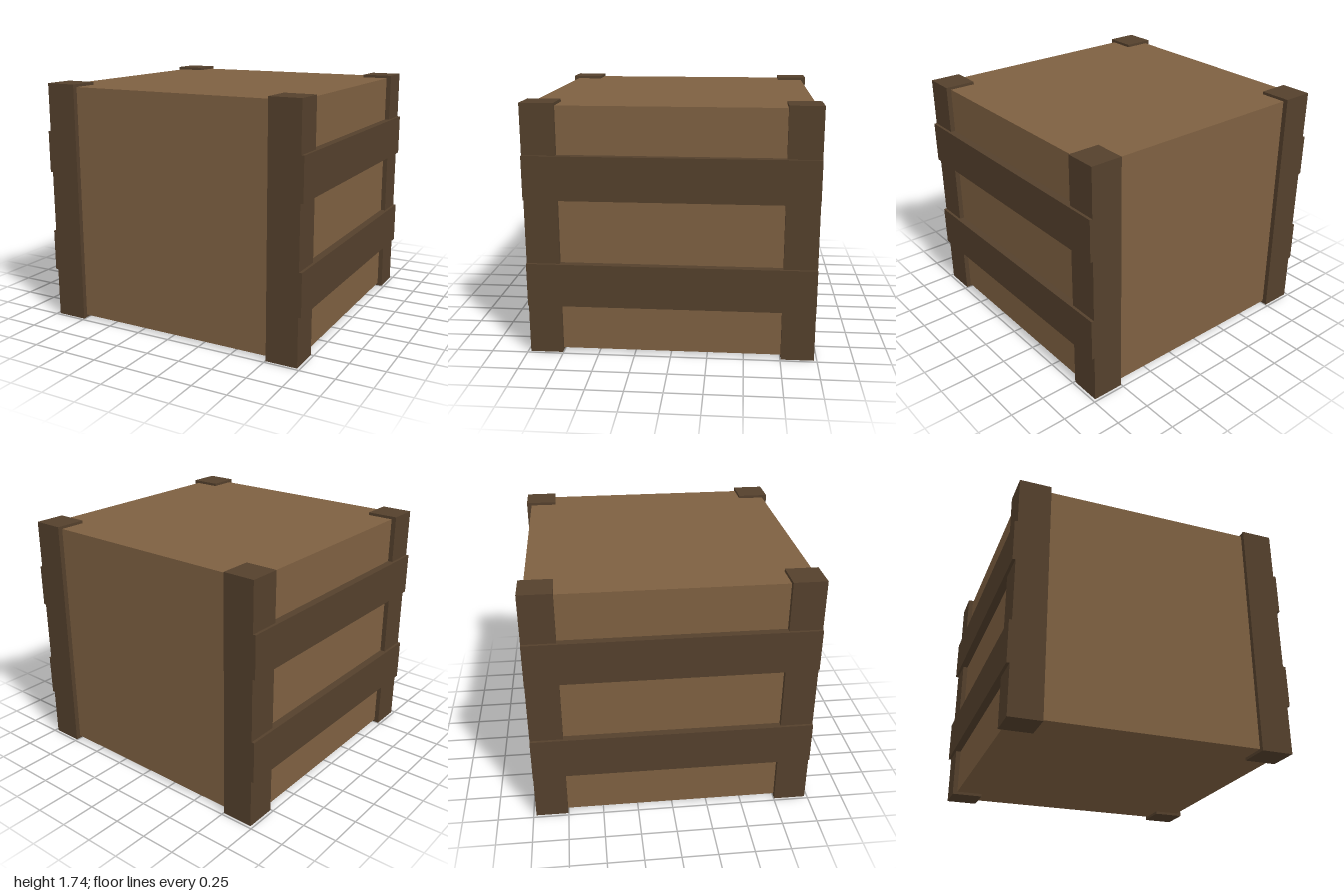
import * as THREE from 'three';

export function createModel() {
  const crate = new THREE.Group();
  crate.name = 'crate';

  const panelWood = new THREE.MeshStandardMaterial({ color: 0x7e6041 });
  panelWood.name = 'panel wood';
  const frameWood = new THREE.MeshStandardMaterial({ color: 0x54402c });
  frameWood.name = 'frame wood';

  function addBox(name, material, size, position) {
    const mesh = new THREE.Mesh(new THREE.BoxGeometry(...size), material);
    mesh.name = name;
    mesh.position.set(...position);
    crate.add(mesh);
  }

  // Main box, raised slightly off the ground
  addBox('body', panelWood, [1.89, 1.7, 1.89], [0, 0.87, 0]);

  for (const x of [-1, 1]) {
    const side = x > 0 ? 'left' : 'right';

    // Corner posts, standing proud of the body on every side
    for (const z of [-1, 1]) {
      const end = z > 0 ? 'Front' : 'Back';
      addBox(`${side}${end}Post`, frameWood, [0.226, 1.74, 0.226], [x * 0.867, 0.87, z * 0.867]);
    }

    // Two horizontal slats across each side, running over the posts
    addBox(`${side}LowerSlat`, frameWood, [0.075, 0.3, 1.96], [x * 0.9625, 0.5, 0]);
    addBox(`${side}UpperSlat`, frameWood, [0.075, 0.3, 1.96], [x * 0.9625, 1.245, 0]);
  }

  return crate;
}
